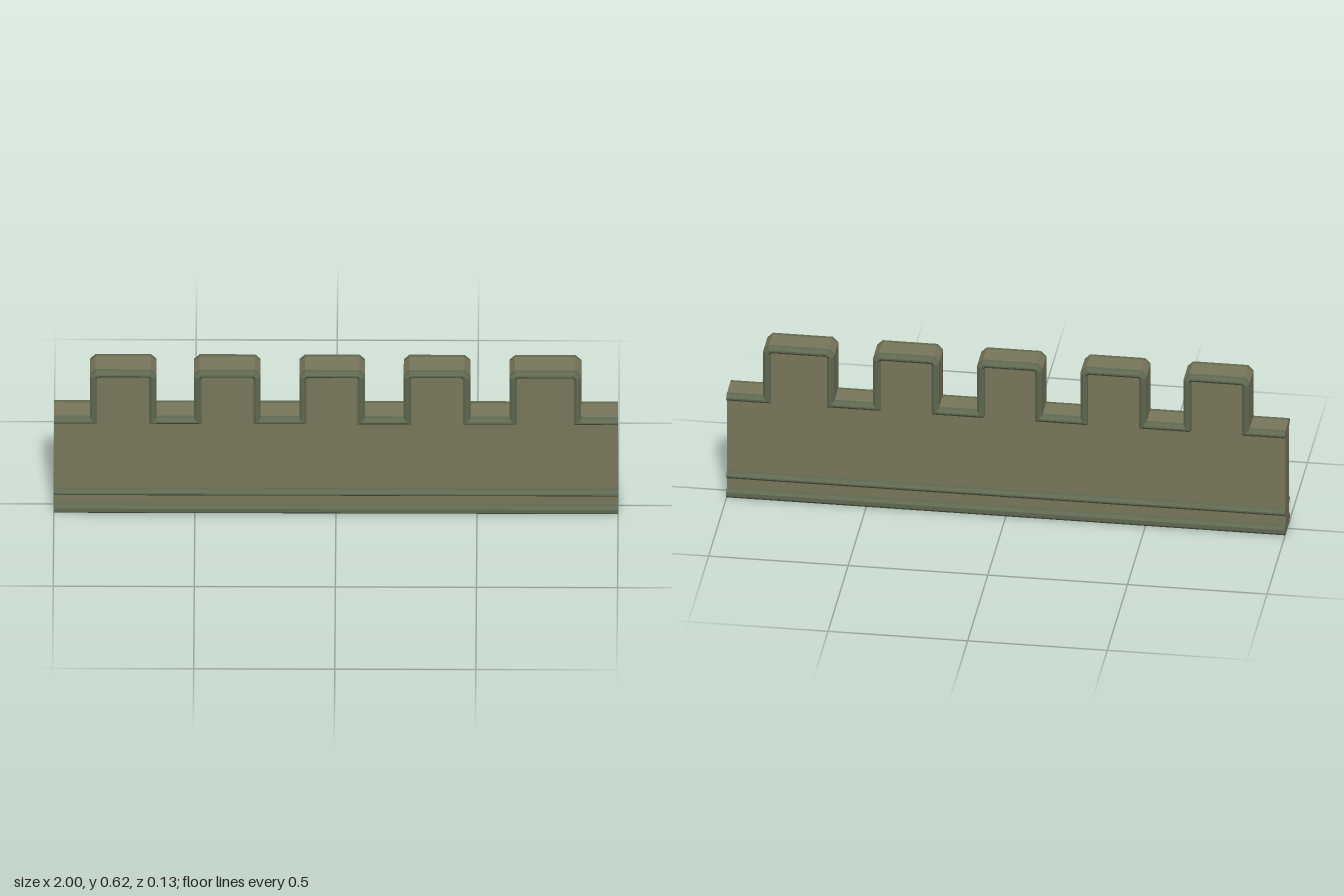
import * as THREE from 'three';

const BODY = new THREE.MeshStandardMaterial({ color: 0x77755a, flatShading: true, side: THREE.DoubleSide });
const TRIM = new THREE.MeshStandardMaterial({ color: 0x5f6850, flatShading: true, side: THREE.DoubleSide });
const HALF = 0.04;    // half thickness of the wall
const FLOOR = 0.415;  // height of the gaps
const TOP = 0.617;    // height of the merlons
const CUT = 0.02;     // cut of the merlon corners
const MERLONS = [[-0.872, -0.636], [-0.503, -0.267], [-0.13, 0.103], [0.24, 0.476], [0.615, 0.869]];

// Crenellated outline from the -x end to the +x end
function crenellation() {
  const pts = [[-1, FLOOR]];
  for (const [a, b] of MERLONS) {
    pts.push([a, FLOOR], [a, TOP - CUT], [a + CUT, TOP], [b - CUT, TOP], [b, TOP - CUT], [b, FLOOR]);
  }
  pts.push([1, FLOOR]);
  return pts.map(([x, y]) => new THREE.Vector2(x, y));
}

// Offset a path to its right-hand side (into the wall) with mitred corners
function offsetPath(path, d) {
  const normal = (i) => {
    const e = path[i + 1].clone().sub(path[i]).normalize();
    return new THREE.Vector2(e.y, -e.x);
  };
  return path.map((p, i) => {
    const n1 = normal(Math.max(i - 1, 0));
    const n2 = normal(Math.min(i, path.length - 2));
    const m = n1.clone().add(n2);
    return p.clone().addScaledVector(m, d / (1 + n1.dot(n2)));
  });
}

// Sweep a profile of [inset, z] points along a path, optionally capping the ends
function sweep(path, profile, capped) {
  const rows = profile.map(([d, z]) => offsetPath(path, d).map((p) => [p.x, p.y, z]));
  const n = path.length, pos = [], index = [];
  rows.forEach((row) => row.forEach((p) => pos.push(...p)));
  for (let k = 0; k < rows.length - 1; k++) {
    for (let i = 0; i < n - 1; i++) {
      const a = k * n + i, c = a + n;
      index.push(a, c, a + 1, a + 1, c, c + 1);
    }
  }
  if (capped) {
    for (let k = 1; k < rows.length - 1; k++) {
      index.push(0, (k + 1) * n, k * n);
      index.push(n - 1, k * n + n - 1, (k + 1) * n + n - 1);
    }
  }
  const geo = new THREE.BufferGeometry();
  geo.setAttribute('position', new THREE.Float32BufferAttribute(pos, 3));
  geo.setIndex(index);
  const flat = geo.toNonIndexed();
  flat.computeVertexNormals();
  return flat;
}

// Chamfered horizontal bar running the full length of the wall
function barGeometry(y0, y1) {
  const c = 0.01;
  return sweep([new THREE.Vector2(-1, y1), new THREE.Vector2(1, y1)], [
    [0, HALF], [0, 0.053], [c, 0.063], [y1 - y0 - c, 0.063], [y1 - y0, 0.053], [y1 - y0, HALF],
  ], true);
}

export function createModel() {
  const group = new THREE.Group();
  const add = (geo, mat, name, parent = group) => {
    const mesh = new THREE.Mesh(geo, mat);
    mesh.name = name;
    parent.add(mesh);
    return mesh;
  };
  const outline = crenellation();
  const closed = [new THREE.Vector2(-1, 0), ...outline, new THREE.Vector2(1, 0)];

  // Ends and top of the hollow wall, open underneath
  add(sweep(closed, [[0, -HALF], [0, HALF]], false), BODY, 'wallRim');

  // Wall face and trims, the same on the front and the back
  const face = new THREE.ShapeGeometry(new THREE.Shape(closed));
  face.translate(0, 0, HALF);
  const battlementTrim = sweep(outline, [
    [0, HALF], [0, 0.053], [0.01, 0.063], [0.016, 0.063], [0.026, 0.053], [0.026, HALF],
  ], true);
  const baseBar = barGeometry(0, 0.035);
  const upperBar = barGeometry(0.077, 0.102);
  for (const [name, s] of [['frontSide', 1], ['backSide', -1]]) {
    const side = new THREE.Group();
    side.name = name;
    side.scale.z = s;
    add(face, BODY, 'wallFace', side);
    add(battlementTrim, TRIM, 'battlementTrim', side);
    add(baseBar, TRIM, 'baseMoulding', side);
    add(upperBar, TRIM, 'upperMoulding', side);
    group.add(side);
  }
  return group;
}
